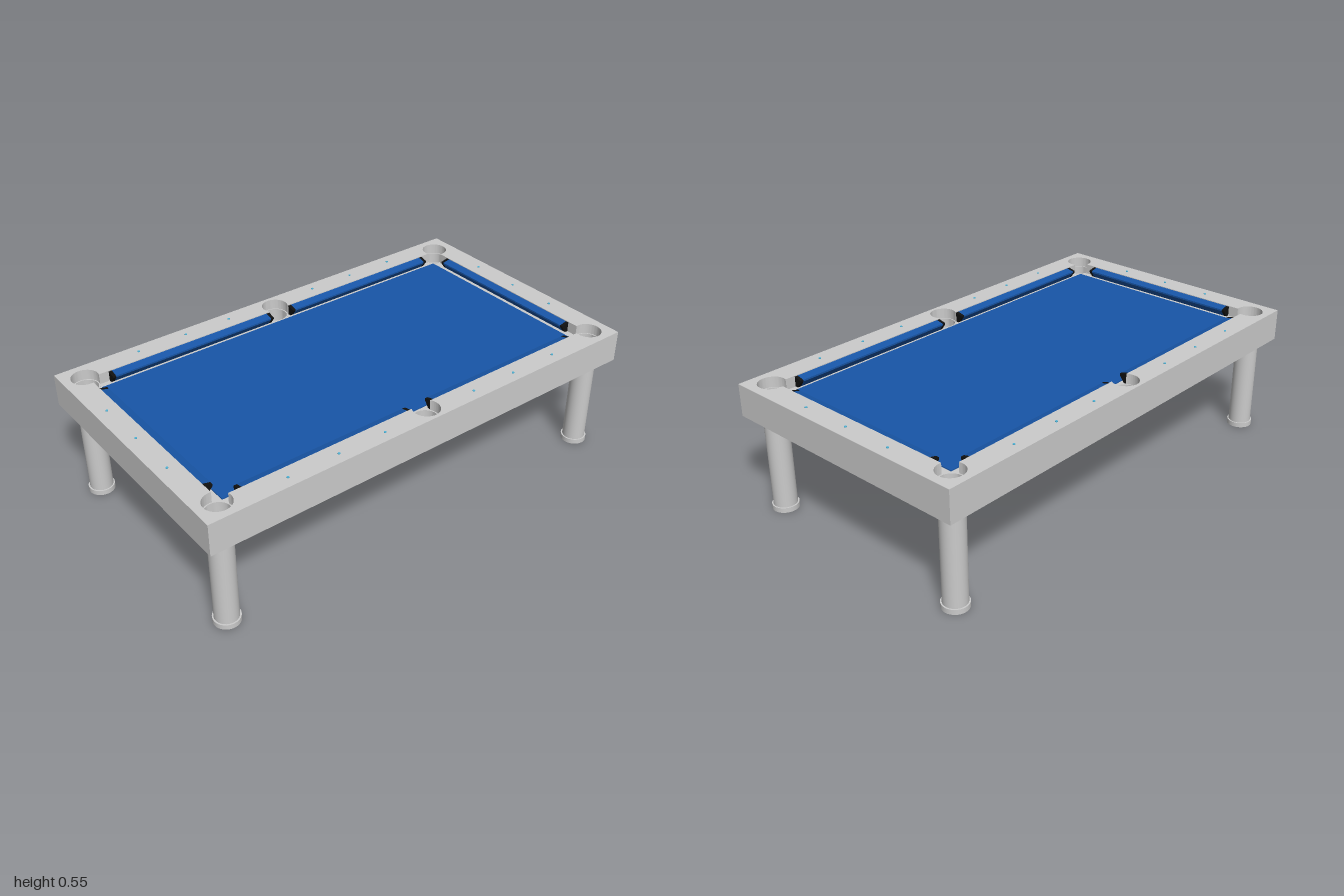
import * as THREE from 'three';
import { toCreasedNormals } from 'three/addons/utils/BufferGeometryUtils.js';

const grey = new THREE.MeshStandardMaterial({ color: 0xcccccc });
const cloth = new THREE.MeshStandardMaterial({ color: 0x1856a8 });
const black = new THREE.MeshStandardMaterial({ color: 0x111111 });
const cyan = new THREE.MeshStandardMaterial({ color: 0x4fb4d8 });

const W = 1, D = 0.565;            // half size of the table
const IX = 0.9, IZ = 0.465;        // half size of the opening between the rails
const BOTTOM = 0.41, BED = 0.5, TOP = 0.545;
const R = 0.055;                   // pocket radius
const CX = 0.91, CZ = 0.48, SZ = 0.495; // corner and side pocket centres

export function createModel() {
  const table = new THREE.Group();
  table.name = 'poolTable';

  const add = (name, geometry, material, x = 0, y = 0, z = 0, parent = table) => {
    const mesh = new THREE.Mesh(geometry, material);
    mesh.name = name;
    mesh.position.set(x, y, z);
    parent.add(mesh);
    return mesh;
  };
  const rectangle = () => new THREE.Shape([
    new THREE.Vector2(-W, -D), new THREE.Vector2(W, -D),
    new THREE.Vector2(W, D), new THREE.Vector2(-W, D),
  ]);
  // Horizontal slab extruded upwards from y = 0
  const slab = (shape, height) => toCreasedNormals(
    new THREE.ExtrudeGeometry(shape, { depth: height, bevelEnabled: false, curveSegments: 24 }).rotateX(-Math.PI / 2), 0.6);

  const pockets = [];
  for (const s of [-1, 1]) pockets.push([-CX, s * CZ], [0, s * SZ], [CX, s * CZ]);

  // Bed with six round pocket holes
  const bed = rectangle();
  for (const [x, z] of pockets) {
    bed.holes.push(new THREE.Path().absarc(x, z, R - 0.002, 0, Math.PI * 2, true));
  }
  add('bed', slab(bed, BED - BOTTOM), grey, 0, BOTTOM);

  // Rail frame: the opening bulges into an arc at each pocket
  const rails = rectangle();
  const opening = new THREE.Path();
  const reach = (offset) => Math.sqrt(R * R - offset * offset);
  const a = Math.atan2(-reach(CX - IX), IX - CX);
  const b = Math.atan2(IZ - CZ, -reach(CZ - IZ)) + Math.PI * 2;
  const c = Math.atan2(IZ - SZ, reach(SZ - IZ));
  for (const [s, turn] of [[1, 0], [-1, Math.PI]]) {
    opening.absarc(s * CX, s * CZ, R, a + turn, b + turn, false);
    opening.absarc(0, s * SZ, R, c + turn, Math.PI - c + turn, false);
    opening.absarc(-s * CX, s * CZ, R, Math.PI - b + turn, Math.PI - a + turn, false);
  }
  opening.closePath();
  rails.holes.push(opening);
  add('railFrame', slab(rails, TOP - BED), grey, 0, BED);

  // Playing surface
  add('cloth', new THREE.BoxGeometry(1.73, 0.006, 0.87), cloth, 0, BED + 0.001, 0);

  // Pocket cups, showing slightly below the bed
  const cup = toCreasedNormals(new THREE.LatheGeometry([
    [0, 0.4], [R, 0.4], [R, BED + 0.001], [R - 0.005, BED + 0.001], [R - 0.005, 0.412], [0, 0.412],
  ].map(([x, y]) => new THREE.Vector2(x, y)), 32), 0.6);
  for (const [x, z] of pockets) add('pocketCup', cup, grey, x, 0, z);

  // Cushions: undercut profile with a black facing at each end
  const profile = new THREE.Shape([
    [0, BED], [0.014, BED], [0.034, 0.527], [0.034, 0.534], [0, 0.542],
  ].map(([x, y]) => new THREE.Vector2(x, y)));
  const bar = (length) => new THREE.ExtrudeGeometry(profile, { depth: length, bevelEnabled: false })
    .translate(0, 0, -length / 2);
  const FACING = 0.014;
  const cushion = (name, length, x, z, turn) => {
    const group = new THREE.Group();
    group.name = name;
    group.position.set(x, 0, z);
    group.rotation.y = turn;
    add('cushionRubber', bar(length - 2 * FACING), cloth, 0, 0, 0, group);
    for (const s of [-1, 1]) add('cushionFacing', bar(FACING), black, 0, 0, s * (length - FACING) / 2, group);
    table.add(group);
  };
  for (const s of [-1, 1]) {
    cushion('endCushion', 0.76, s * IX, 0, s > 0 ? Math.PI : 0);
    for (const t of [-1, 1]) cushion('sideCushion', 0.765, t * 0.4325, s * IZ, s * Math.PI / 2);
  }

  // Sight markers on the rails
  const dot = new THREE.CylinderGeometry(0.005, 0.005, 0.006, 12);
  for (const s of [-1, 1]) {
    for (const x of [-0.65, -0.43, -0.22, 0.22, 0.43, 0.65]) add('sightMarker', dot, cyan, x, TOP, s * 0.52);
    for (const z of [-0.22, 0, 0.22]) add('sightMarker', dot, cyan, s * 0.95, TOP, z);
  }

  // Legs: round foot, round column and square mounting plate
  const foot = new THREE.CylinderGeometry(0.054, 0.054, 0.021, 32);
  const column = new THREE.CylinderGeometry(0.048, 0.048, 0.375, 32);
  const plate = new THREE.BoxGeometry(0.107, 0.018, 0.107);
  for (const x of [-CX, CX]) {
    for (const z of [-CZ, CZ]) {
      const leg = new THREE.Group();
      leg.name = 'leg';
      leg.position.set(x, 0, z);
      add('foot', foot, grey, 0, 0.0105, 0, leg);
      add('column', column, grey, 0, 0.2075, 0, leg);
      add('mountingPlate', plate, grey, 0, 0.401, 0, leg);
      table.add(leg);
    }
  }
  return table;
}
